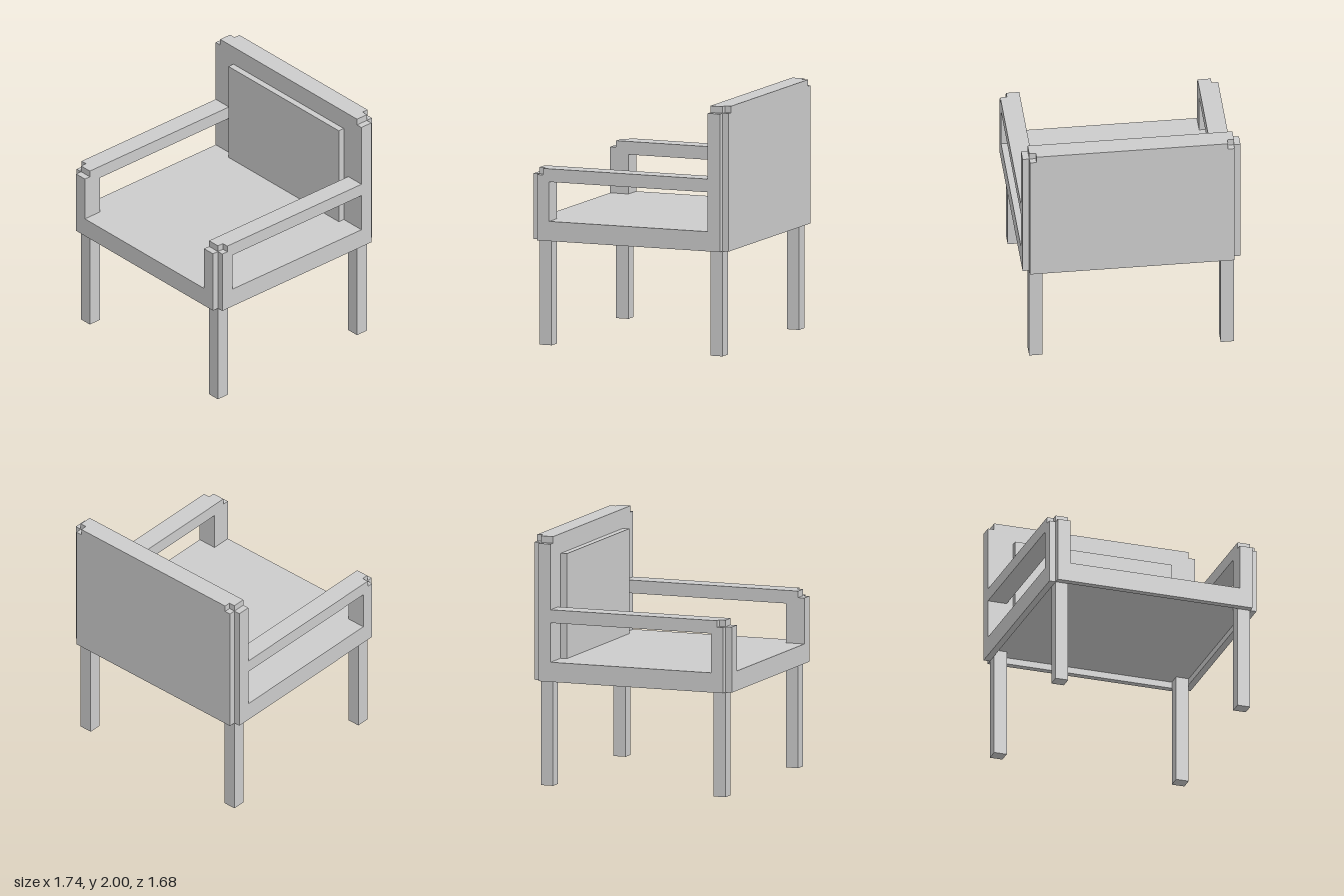
import * as THREE from 'three';

const U = 2 / 38; // the chair is laid out on a 38-unit-high modular grid

export function createModel() {
  const chair = new THREE.Group();
  chair.name = 'armchair';
  const material = new THREE.MeshStandardMaterial({ color: 0xcccccc, flatShading: true });

  const add = (name, geometry) => {
    geometry.scale(U, U, U);
    const mesh = new THREE.Mesh(geometry, material);
    mesh.name = name;
    chair.add(mesh);
  };

  // Box from its min and max corners, in grid units
  const box = (name, [x0, y0, z0], [x1, y1, z1]) =>
    add(name, new THREE.BoxGeometry(x1 - x0, y1 - y0, z1 - z0)
      .translate((x0 + x1) / 2, (y0 + y1) / 2, (z0 + z1) / 2));

  // One-unit-thick board cut from an outline, with an optional opening
  const board = (outline, hole) => {
    const toPoints = (list) => list.map(([a, b]) => new THREE.Vector2(a, b));
    const shape = new THREE.Shape(toPoints(outline));
    if (hole) shape.holes.push(new THREE.Path(toPoints(hole)));
    return new THREE.ExtrudeGeometry(shape, { depth: 1, bevelEnabled: false });
  };

  // Mirrors the right half of an outline (bottom to top) across x = 0
  const symmetric = (half) => [...half, ...half.map(([x, y]) => [-x, y]).reverse()];

  // Seat, recessed above the lower rim of the outer boards
  box('seat', [-15.5, 17, -15], [15.5, 19, 15]);

  // Backrest core and cushion
  box('backrest', [-15.5, 19, -15], [15.5, 38, -13]);
  box('backCushion', [-12.5, 19, -13], [12.5, 35, -12]);

  // Front and back boards, stepped at the corners
  add('frontBoard', board(symmetric([[15.5, 16], [15.5, 26], [13.5, 26], [13.5, 19]]))
    .translate(0, 0, 15));
  add('backBoard', board(symmetric([[15.5, 16], [15.5, 37], [14.5, 37], [14.5, 38]]))
    .translate(0, 0, -16));

  for (const [side, s] of [['left', 1], ['right', -1]]) {
    const inner = s > 0 ? 13.5 : -15.5; // low x of the posts and arms

    // Legs; the front ones rise to carry the arms
    box(side + 'FrontLeg', [inner, 0, 13], [inner + 2, 27, 15]);
    box(side + 'BackLeg', [inner, 0, -15], [inner + 2, 17, -13]);

    // Armrest rail
    box(side + 'Armrest', [inner, 25, -13], [inner + 2, 27, 13]);

    // Side board with its opening, drawn as (z, y)
    const sideBoard = board(
      [[-15, 16], [15, 16], [15, 26], [14, 26], [14, 27], [-13, 27], [-13, 37], [-15, 37]],
      [[-13, 19], [-13, 25], [13, 25], [13, 19]]
    );
    sideBoard.rotateY(-Math.PI / 2).translate(s > 0 ? 16.5 : -15.5, 0, 0);
    add(side + 'SideBoard', sideBoard);
  }

  return chair;
}
